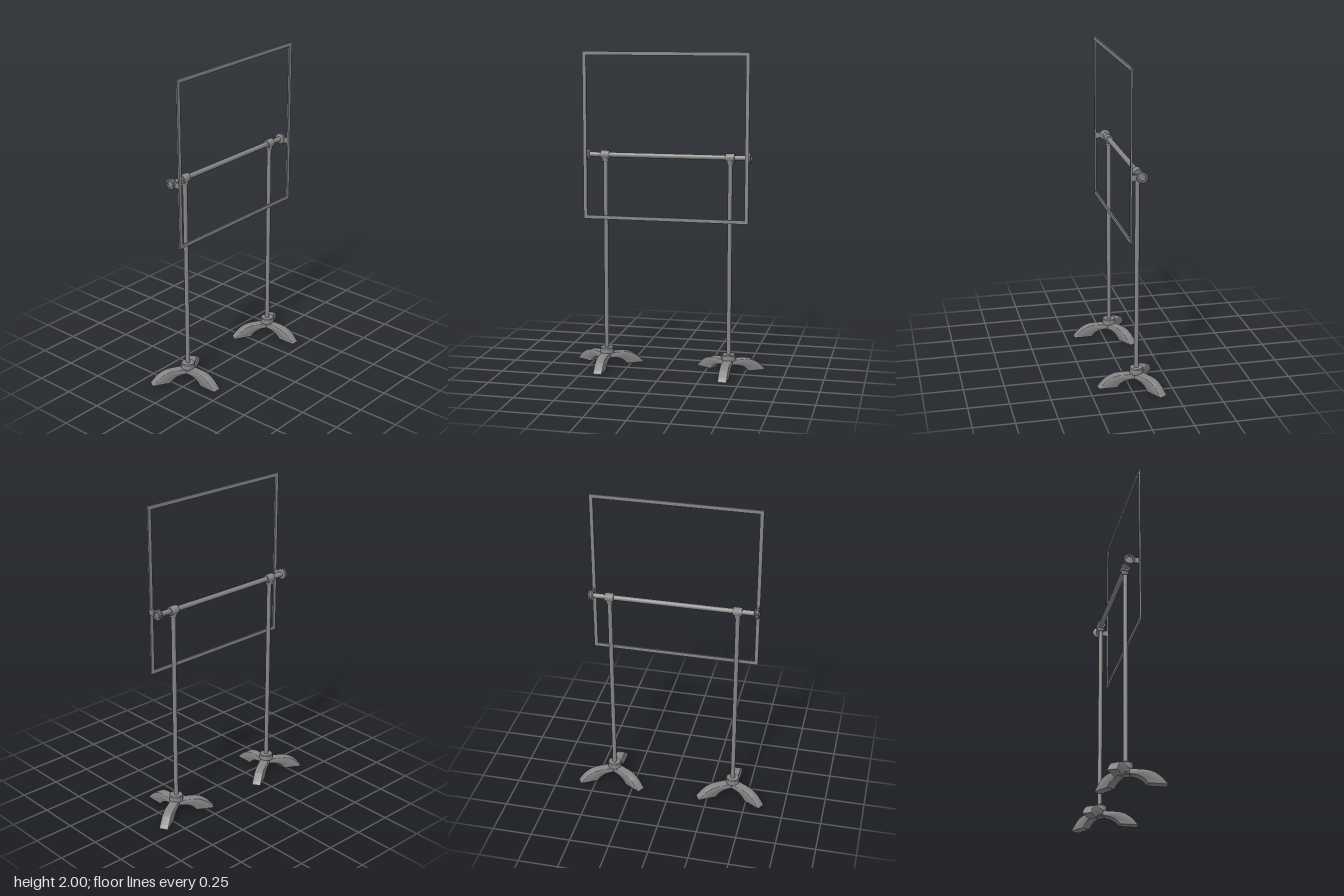
import * as THREE from 'three';
import { toCreasedNormals } from 'three/addons/utils/BufferGeometryUtils.js';

const material = new THREE.MeshStandardMaterial({ color: 0x868686 });
const POST_X = 0.396, AXIS_Z = -0.048, BAR_Y = 1.356;

function part(parent, name, geometry, x = 0, y = 0, z = 0) {
  const mesh = new THREE.Mesh(geometry, material);
  mesh.name = name;
  mesh.position.set(x, y, z);
  parent.add(mesh);
  return mesh;
}

function lathe(points, segments = 32) {
  const profile = points.map(([r, y]) => new THREE.Vector2(r, y));
  return toCreasedNormals(new THREE.LatheGeometry(profile, segments), 0.6);
}

// Arched foot leg: side profile extruded across its width, edges softened
function legGeometry() {
  const s = new THREE.Shape();
  s.moveTo(0.01, 0.08);
  s.lineTo(0.1, 0.08);
  s.bezierCurveTo(0.165, 0.08, 0.2, 0.05, 0.24, 0);
  s.lineTo(0.125, 0);
  s.bezierCurveTo(0.1, 0.033, 0.075, 0.045, 0.01, 0.047);
  s.closePath();
  const bevel = 0.004, width = 0.057;
  const g = new THREE.ExtrudeGeometry(s, {
    depth: width - 2 * bevel, bevelSize: bevel, bevelThickness: bevel,
    bevelOffset: -bevel, bevelSegments: 4, curveSegments: 12,
  });
  g.translate(0, 0, -width / 2 + bevel);
  return toCreasedNormals(g, 0.6);
}

// Upright with three-legged foot and tee fitting
function createStand(side) {
  const stand = new THREE.Group();
  stand.name = side > 0 ? 'leftStand' : 'rightStand';
  stand.position.set(side * POST_X, 0, AXIS_Z);
  const leg = legGeometry();
  [-90, 30, 150].forEach((deg) => {
    part(stand, 'footLeg', leg).rotation.y = THREE.MathUtils.degToRad(deg);
  });
  part(stand, 'footHub', lathe([
    [0, 0.042], [0.03, 0.042], [0.03, 0.076], [0.043, 0.076], [0.043, 0.11],
    [0.039, 0.115], [0, 0.115],
  ]));
  part(stand, 'post', new THREE.CylinderGeometry(0.014, 0.014, 1.25, 24), 0, 0.725, 0);
  part(stand, 'teeCollar', lathe([
    [0.014, 1.312], [0.018, 1.312], [0.023, 1.332], [0.023, 1.356], [0, 1.356],
  ]));
  part(stand, 'teeSleeve', lathe([
    [0.016, -0.028], [0.025, -0.028], [0.027, -0.025],
    [0.027, 0.025], [0.025, 0.028], [0.016, 0.028],
  ]), 0, BAR_Y, 0).rotation.z = Math.PI / 2;
  return stand;
}

// End clamp: recessed round knob and the arm that carries the frame
function createClamp(side) {
  const clamp = new THREE.Group();
  clamp.name = side > 0 ? 'leftClamp' : 'rightClamp';
  clamp.position.set(side * 0.511, BAR_Y, AXIS_Z);
  const knob = part(clamp, 'clampKnob', lathe([
    [0, -0.014], [0.026, -0.014], [0.034, -0.009], [0.034, -0.004],
    [0.029, -0.002], [0.029, 0.002], [0.034, 0.004], [0.034, 0.011],
    [0.03, 0.015], [0.021, 0.015], [0.019, 0.008], [0, 0.008],
  ]));
  knob.rotation.z = -side * Math.PI / 2;
  part(clamp, 'frameArm', new THREE.BoxGeometry(0.014, 0.036, 0.064), 0, 0, 0.032);
  return clamp;
}

// Thin open rectangular frame
function frameGeometry() {
  const x = 0.521, y0 = 0.957, y1 = 2, t = 0.023;
  const outer = new THREE.Shape([
    [-x, y0], [x, y0], [x, y1], [-x, y1],
  ].map((p) => new THREE.Vector2(...p)));
  outer.holes.push(new THREE.Path([
    [-x + t, y0 + t], [-x + t, y1 - t], [x - t, y1 - t], [x - t, y0 + t],
  ].map((p) => new THREE.Vector2(...p))));
  return new THREE.ExtrudeGeometry(outer, { depth: 0.01, bevelEnabled: false });
}

export function createModel() {
  const model = new THREE.Group();
  model.name = 'frameStand';
  for (const side of [-1, 1]) model.add(createStand(side), createClamp(side));
  const bar = part(model, 'crossbar', new THREE.CylinderGeometry(0.016, 0.016, 1.02, 24), 0, BAR_Y, AXIS_Z);
  bar.rotation.z = Math.PI / 2;
  part(model, 'frame', frameGeometry(), 0, 0, 0.012);
  return model;
}
